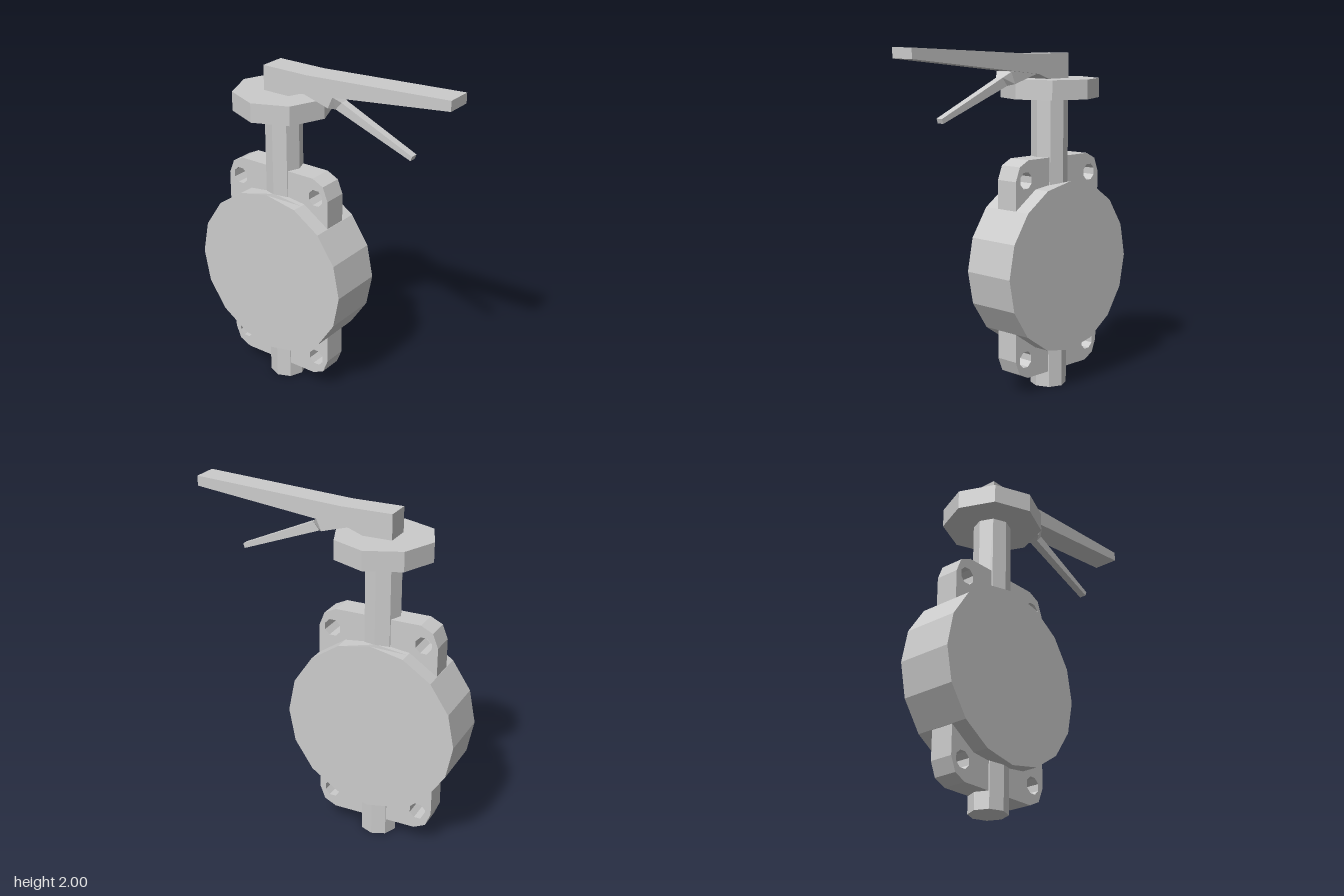
import * as THREE from 'three';

const AXIS_X = -0.3; // shared vertical axis of disc, stem and top flange
const DISC_Y = 0.73;

export function createModel() {
  const group = new THREE.Group();
  const material = new THREE.MeshStandardMaterial({ color: 0xcccccc, flatShading: true });

  const add = (name, geometry, x = 0, y = 0, z = 0) => {
    const mesh = new THREE.Mesh(geometry, material);
    mesh.name = name;
    mesh.position.set(x, y, z);
    group.add(mesh);
    return mesh;
  };

  const extrude = (shape, depth) => new THREE.ExtrudeGeometry(shape, {
    depth, bevelEnabled: false, curveSegments: 4,
  }).translate(0, 0, -depth / 2);

  // Valve body: 16-sided disc, its top and bottom ridges dipping towards the stem
  const disc = new THREE.CylinderGeometry(0.5, 0.5, 0.33, 16, 3).rotateX(Math.PI / 2);
  const p = disc.attributes.position;
  for (let i = 0; i < p.count; i++) {
    if (Math.abs(p.getZ(i)) > 0.1) continue;
    p.setZ(i, Math.sign(p.getZ(i)) * 0.1);
    if (Math.abs(p.getX(i)) < 0.01) p.setY(i, p.getY(i) * 0.97);
  }
  add('valveDisc', disc, AXIS_X, DISC_Y);

  // Mounting plate: rounded corners concentric with four bolt holes
  const plate = new THREE.Shape();
  const corner = [[0.352, 0.52], [0.32, 0.6], [0.25, 0.634]];
  const outline = [];
  for (const [sx, sy] of [[1, 1], [-1, 1], [-1, -1], [1, -1]]) {
    const pts = corner.map(([x, y]) => new THREE.Vector2(x * sx, y * sy));
    outline.push(...(sx * sy > 0 ? pts : pts.reverse()));
    const hole = new THREE.Path();
    const ring = Array.from({ length: 8 }, (_, i) => {
      const a = ((i + 0.5) * Math.PI) / 4;
      return new THREE.Vector2(0.27 * sx + 0.05 * Math.cos(a), 0.52 * sy + 0.05 * Math.sin(a));
    });
    hole.setFromPoints(ring.reverse());
    plate.holes.push(hole);
  }
  plate.setFromPoints(outline);
  add('mountingPlate', extrude(plate, 0.14), AXIS_X, DISC_Y);

  // Octagonal stem and top flange
  add('stem', new THREE.CylinderGeometry(0.106, 0.106, 1.72, 8), AXIS_X, 0.86);
  add('topFlange', new THREE.CylinderGeometry(0.282, 0.282, 0.11, 8), AXIS_X, 1.755);

  // Handle: side profile extruded across its width
  const handle = new THREE.Shape([
    [-0.375, 1.805], [-0.22, 1.805], [-0.125, 1.84], [0.8, 1.943],
    [0.8, 2], [-0.08, 1.952], [-0.375, 1.952],
  ].map(([x, y]) => new THREE.Vector2(x, y)));
  add('handle', extrude(handle, 0.15));

  // Trigger lever: rows of [top x, top y, bottom x, bottom y, half width]
  const sections = [
    [-0.12, 1.86, -0.12, 1.838, 0.058],
    [0.075, 1.857, 0.045, 1.79, 0.058],
    [0.11, 1.825, 0.072, 1.78, 0.024],
    [0.555, 1.628, 0.546, 1.602, 0.021],
  ];
  const vertices = [];
  const faces = [];
  sections.forEach(([tx, ty, bx, by, w], s) => {
    vertices.push(tx, ty, w, tx, ty, -w, bx, by, -w, bx, by, w);
    if (s === 0) return;
    for (let j = 0; j < 4; j++) {
      const k = (j + 1) % 4;
      const a = (s - 1) * 4;
      const b = s * 4;
      faces.push(a + j, b + j, a + k, a + k, b + j, b + k);
    }
  });
  const e = (sections.length - 1) * 4;
  faces.push(0, 1, 2, 0, 2, 3, e, e + 3, e + 2, e, e + 2, e + 1);
  const trigger = new THREE.BufferGeometry();
  trigger.setAttribute('position', new THREE.Float32BufferAttribute(vertices, 3));
  trigger.setIndex(faces);
  trigger.computeVertexNormals();
  add('triggerLever', trigger);

  return group;
}
